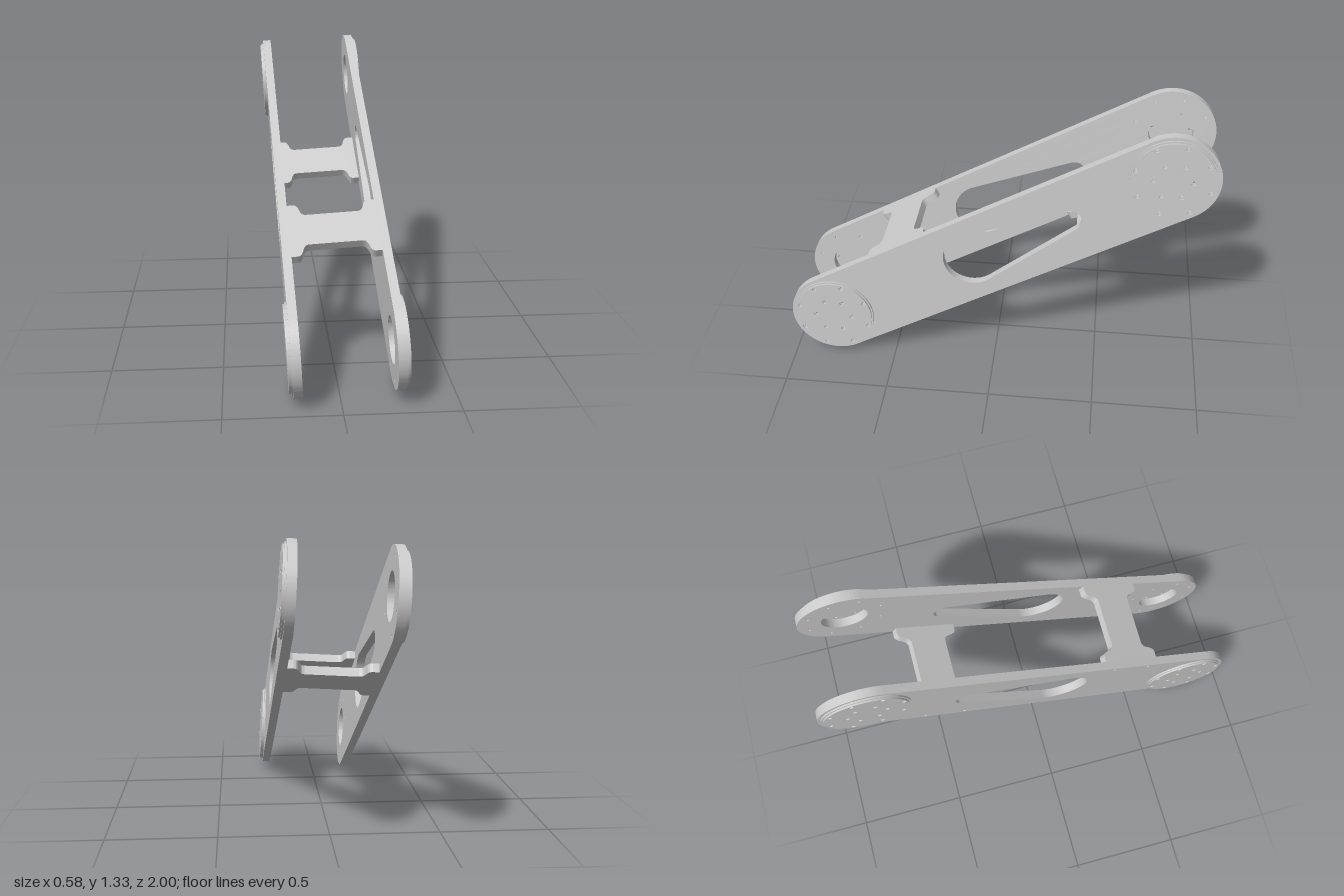
import * as THREE from 'three';
import { toCreasedNormals } from 'three/addons/utils/BufferGeometryUtils.js';

const R = 0.212;          // plate end radius
const REACH = 0.905;      // arm centre to joint centre
const INNER = 0.198, THICK = 0.04;
const BAR_U = 0.425;      // crossbar offset along the arm

const material = new THREE.MeshStandardMaterial({ color: 0xcccccc });

function extrude(shape, depth, z = 0) {
  const g = new THREE.ExtrudeGeometry(shape, { depth, bevelEnabled: false, curveSegments: 40 });
  g.translate(0, 0, z);
  return toCreasedNormals(g, 0.5);
}

function part(name, geometry) {
  const mesh = new THREE.Mesh(geometry, material);
  mesh.name = name;
  return mesh;
}

function circle(x, y, r, Type = THREE.Path) {
  return new Type().absarc(x, y, r, 0, Math.PI * 2, false);
}

// Small round holes evenly spaced about a centre
function boltCircle(shape, cx, count, radius, start, holeR) {
  for (let i = 0; i < count; i++) {
    const a = start + (i * Math.PI * 2) / count;
    shape.holes.push(circle(cx + radius * Math.cos(a), radius * Math.sin(a), holeR));
  }
}

// Long round-ended side plate with teardrop window and joint bores
function plateShape(withBarBolts) {
  const s = new THREE.Shape();
  s.absarc(REACH, 0, R, -Math.PI / 2, Math.PI / 2, false);
  s.absarc(-REACH, 0, R, Math.PI / 2, Math.PI * 1.5, false);
  s.closePath();

  const c1 = -0.12, r1 = 0.135, c2 = 0.4, r2 = 0.053;
  const a = Math.acos((r1 - r2) / (c2 - c1));
  const windowPath = new THREE.Path();
  windowPath.absarc(c1, 0, r1, a, Math.PI * 2 - a, false);
  windowPath.absarc(c2, 0, r2, -a, a, false);
  windowPath.closePath();
  s.holes.push(windowPath);

  for (const end of [-1, 1]) {
    s.holes.push(circle(end * REACH, 0, 0.105));
    boltCircle(s, end * REACH, 8, 0.174, 0, 0.006);
    if (withBarBolts) {
      for (const d of [-0.105, 0.105]) s.holes.push(circle(end * BAR_U + d, -end * 0.192, 0.008));
    }
  }
  return s;
}

// One stepped layer of a joint cover, with both bolt circles
function coverLayer(radius, holeR) {
  const s = circle(0, 0, radius, THREE.Shape);
  boltCircle(s, 0, 8, 0.174, 0, holeR);
  boltCircle(s, 0, 6, 0.088, Math.PI / 6, holeR);
  return s;
}

function jointCover(name) {
  const g = new THREE.Group();
  g.name = name;
  g.add(part('coverFlange', extrude(coverLayer(0.197, 0.006), 0.008)));
  g.add(part('coverCap', extrude(coverLayer(0.189, 0.0115), 0.008, 0.008)));
  return g;
}

// Crossbar with a narrow waist and flared ends
function crossbar(name, u, v) {
  const x0 = INNER + 0.002, x1 = 0.172, x2 = 0.115, wide = 0.155, waist = 0.09;
  const s = new THREE.Shape();
  s.moveTo(-x0, -wide);
  s.lineTo(-x1, -wide);
  s.bezierCurveTo(-0.135, -wide, -0.155, -waist, -x2, -waist);
  s.lineTo(x2, -waist);
  s.bezierCurveTo(0.155, -waist, 0.135, -wide, x1, -wide);
  s.lineTo(x0, -wide);
  s.lineTo(x0, wide);
  s.lineTo(x1, wide);
  s.bezierCurveTo(0.135, wide, 0.155, waist, x2, waist);
  s.lineTo(-x2, waist);
  s.bezierCurveTo(-0.155, waist, -0.135, wide, -x1, wide);
  s.lineTo(-x0, wide);
  s.closePath();
  const g = extrude(s, 0.04, -0.02);
  // lay it flat: width across the plates, thickness towards the arm edge
  g.applyMatrix4(new THREE.Matrix4().makeBasis(
    new THREE.Vector3(0, 0, 1), new THREE.Vector3(1, 0, 0), new THREE.Vector3(0, 1, 0)));
  const mesh = part(name, g);
  mesh.position.set(u, v, 0);
  return mesh;
}

export function createModel() {
  // Arm frame: x along the arm, y across the plates, z from plate to plate
  const arm = new THREE.Group();
  arm.name = 'arm';
  arm.rotation.set(THREE.MathUtils.degToRad(29.2), Math.PI / 2, 0);

  for (const side of [1, -1]) {
    const label = side > 0 ? 'left' : 'right';
    const z = side > 0 ? INNER : -INNER - THICK;
    arm.add(part(label + 'SidePlate', extrude(plateShape(side < 0), THICK, z)));
    for (const end of [-1, 1]) {
      const cover = jointCover(label + (end > 0 ? 'Upper' : 'Lower') + 'JointCover');
      cover.position.set(end * REACH, 0, side * (INNER + THICK));
      if (side < 0) cover.rotation.y = Math.PI;
      arm.add(cover);
    }
  }

  arm.add(crossbar('topCrossbar', -BAR_U, R - 0.02));
  arm.add(crossbar('bottomCrossbar', BAR_U, -R + 0.02));

  // Slight sideways lean of the whole arm
  const model = new THREE.Group();
  model.name = 'linkArm';
  const lean = new THREE.Group();
  lean.name = 'leaningArm';
  lean.rotation.z = 0.057;
  lean.position.y = 0.67;
  lean.add(arm);
  model.add(lean);
  return model;
}
